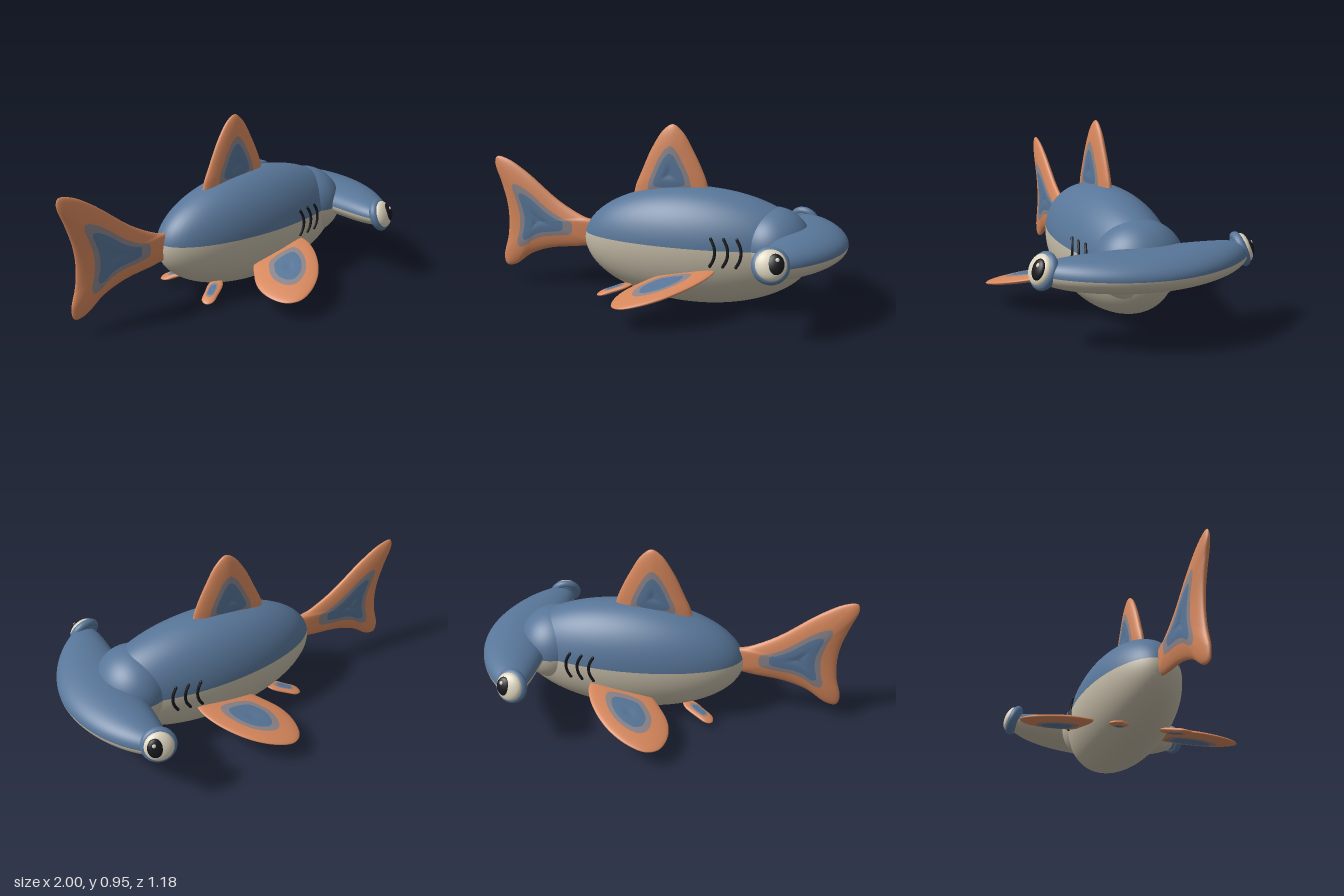
import * as THREE from 'three';
import { ParametricGeometry } from 'three/addons/geometries/ParametricGeometry.js';

const mat = (name, color) => Object.assign(new THREE.MeshStandardMaterial({ color }), { name });

export function createModel() {
  const root = new THREE.Group();
  root.name = 'hammerheadFish';
  const blue = mat('slateBlue', 0x587699);
  const belly = mat('bellyCream', 0xc2b9a5);
  const orange = mat('finOrange', 0xd6875c);
  const mauve = mat('finGrey', 0x8c8489);
  const cream = mat('eyeCream', 0xddd5bf);
  const black = mat('black', 0x17181d);

  const add = (parent, name, geometry, material) => {
    const m = new THREE.Mesh(geometry, material);
    m.name = name;
    parent.add(m);
    return m;
  };

  // Ellipsoid cut at a height: blue back above, cream belly below
  const twoTone = (name, c, r, seamY) => {
    const cut = Math.acos((seamY - c[1]) / r[1]);
    [['Back', 0, cut, blue], ['Belly', cut, Math.PI - cut, belly]].forEach(([part, start, len, m]) => {
      const g = new THREE.SphereGeometry(1, 64, 28, 0, Math.PI * 2, start, len);
      g.scale(...r).translate(...c);
      add(root, name + part, g, m);
    });
  };
  twoTone('body', [0.2, 0.317, 0], [0.63, 0.313, 0.25], 0.35);
  twoTone('head', [0.62, 0.345, 0], [0.2, 0.2, 0.22], 0.35);

  // Hammer: elliptical sections along z, straight rear edge and curved front edge
  const hammerHalf = (start) => new ParametricGeometry((u, v, p) => {
    const s = Math.sin((v - 0.5) * Math.PI) * 0.9999;
    const a = start + u * Math.PI;
    const cap = Math.sqrt(1 - s ** 8);
    const front = 1 - 0.24 * s * s;
    p.set((front + 0.63) / 2 + Math.cos(a) * cap * (front - 0.63) / 2,
      0.362 + Math.sin(a) * cap * 0.092 * (1 - 0.36 * s * s), s * 0.545);
  }, 24, 64);
  add(root, 'hammerTop', hammerHalf(0), blue);
  add(root, 'hammerUnderside', hammerHalf(Math.PI), belly);

  // Pillow-shaped fin from an anticlockwise outline, coloured in concentric bands
  const bands = [['Rim', 1, 0.57, orange], ['Band', 0.57, 0.42, mauve], ['Centre', 0.42, 0.004, blue]];
  const fin = (name, outline, centre, thick, place) => {
    const group = new THREE.Group();
    group.name = name;
    root.add(group);
    const curve = new THREE.CatmullRomCurve3(outline.map(([a, b]) => new THREE.Vector3(a, b, 0)), true);
    const q = new THREE.Vector3();
    for (const [part, outer, inner, m] of bands) {
      for (const side of [1, -1]) {
        const f0 = Math.acos(outer), f1 = Math.acos(inner);
        const g = new ParametricGeometry((u, v, p) => {
          const f = f0 + (f1 - f0) * (side > 0 ? v : 1 - v);
          const t = Math.cos(f);
          const h = thick * Math.sin(f) * (1 - 0.15 * Math.exp(-((t / 0.14) ** 2)));
          curve.getPoint(u, q);
          place(p, centre[0] + (q.x - centre[0]) * t, centre[1] + (q.y - centre[1]) * t, side * h);
        }, 72, 10);
        add(group, name + part, g, m);
      }
    }
  };
  const upright = (p, a, b, h) => p.set(a, b, h);

  fin('dorsalFin', [[0.27, 0.57], [0.265, 0.64], [0.235, 0.72], [0.19, 0.81], [0.13, 0.91], [0.075, 0.952],
    [0.025, 0.925], [-0.04, 0.83], [-0.1, 0.7], [-0.14, 0.6], [-0.14, 0.54], [0.06, 0.52]],
  [0.06, 0.69], 0.038, upright);

  fin('tailFin', [[-0.36, 0.39], [-0.45, 0.42], [-0.6, 0.5], [-0.8, 0.655], [-0.92, 0.725], [-0.985, 0.735],
    [-0.998, 0.7], [-0.965, 0.6], [-0.93, 0.48], [-0.92, 0.38], [-0.93, 0.27], [-0.96, 0.15], [-0.945, 0.1],
    [-0.89, 0.105], [-0.78, 0.18], [-0.65, 0.225], [-0.45, 0.252], [-0.36, 0.28]],
  [-0.72, 0.385], 0.038, upright);

  for (const s of [1, -1]) {
    const side = s > 0 ? 'left' : 'right';

    // Paired fins lie on sloping planes, mirrored in z
    const sloped = (x0, z0, y0, bx, bz) => (p, a, b, h) =>
      p.set(a, y0 + bx * (a - x0) + bz * (b - z0) - s * h, s * b);
    fin(side + 'PectoralFin', [[0.36, 0.2], [0.37, 0.27], [0.32, 0.39], [0.21, 0.515], [0.09, 0.58], [0, 0.59],
      [-0.06, 0.55], [-0.088, 0.46], [-0.075, 0.36], [-0.02, 0.27], [0.06, 0.19], [0.22, 0.17]],
    [0.13, 0.38], 0.025, sloped(0.37, 0.27, 0.237, 0.227, -0.11));
    fin(side + 'PelvicFin', [[-0.115, 0.1], [-0.13, 0.145], [-0.2, 0.19], [-0.26, 0.215], [-0.29, 0.2],
      [-0.288, 0.16], [-0.24, 0.125], [-0.17, 0.085]],
    [-0.215, 0.15], 0.015, sloped(-0.12, 0.14, 0.088, 0.24, -0.12));

    // Gill slits follow the body surface
    for (const x of [0.365, 0.43, 0.495]) {
      const pts = [0.27, 0.305, 0.34, 0.375, 0.41].map((y) => {
        const gx = x + 0.008 - 5 * (y - 0.34) ** 2;
        const k = 1 - ((gx - 0.2) / 0.63) ** 2 - ((y - 0.317) / 0.313) ** 2;
        return new THREE.Vector3(gx, y, s * (0.25 * Math.sqrt(k) + 0.003));
      });
      add(root, side + 'Gill', new THREE.TubeGeometry(new THREE.CatmullRomCurve3(pts), 16, 0.008, 8), black);
      for (const end of [pts[0], pts[4]]) {
        add(root, side + 'GillEnd', new THREE.SphereGeometry(0.008, 10, 8), black).position.copy(end);
      }
    }

    // Eye: socket ring, eyeball, pupil and glint, facing outward, up and a little forward
    const eye = new THREE.Group();
    eye.name = side + 'Eye';
    eye.position.set(0.705, 0.375, s * 0.498);
    eye.lookAt(0.705 + 0.25, 0.375 + 0.37, s * (0.498 + 0.9));
    root.add(eye);
    const ball = (name, pos, r, m) => {
      const b = add(eye, name, new THREE.SphereGeometry(1, 32, 20), m);
      b.position.set(...pos);
      b.scale.set(...r);
    };
    add(eye, 'eyeSocketRing', new THREE.TorusGeometry(0.066, 0.023, 16, 48), blue);
    ball('eyeSocket', [0, 0, -0.008], [0.075, 0.075, 0.03], blue);
    ball('eyeball', [0, 0, 0.02], [0.073, 0.073, 0.035], cream);
    ball('pupil', [s * 0.018, 0.002, 0.042], [0.041, 0.049, 0.019], black);
    ball('glint', [s * 0.026, 0.02, 0.058], [0.01, 0.01, 0.005], cream);
  }
  return root;
}
